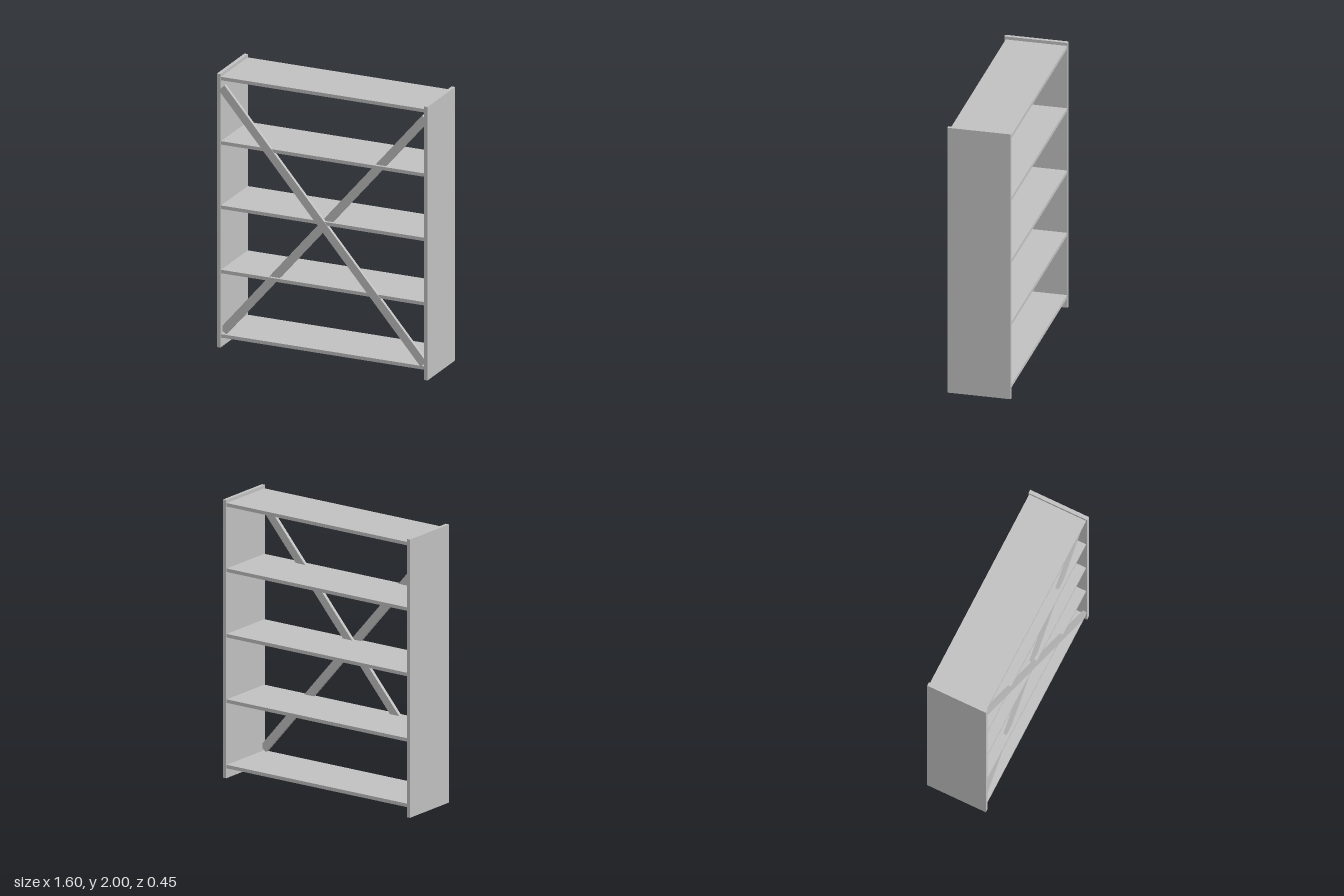
import * as THREE from 'three';

export function createModel() {
  const group = new THREE.Group();
  const grey = new THREE.MeshStandardMaterial({ color: 0xc0c0c0 });
  grey.name = 'grey';

  const board = (name, w, h, d, x, y, z) => {
    const mesh = new THREE.Mesh(new THREE.BoxGeometry(w, h, d), grey);
    mesh.name = name;
    mesh.position.set(x, y, z);
    group.add(mesh);
    return mesh;
  };

  // Side panels
  board('leftSide', 0.027, 2, 0.45, 0.7865, 1, 0);
  board('rightSide', 0.027, 2, 0.45, -0.7865, 1, 0);

  // Five evenly spaced shelves, slightly set in from the panel edges
  for (let i = 0; i < 5; i++) {
    board(`shelf${i + 1}`, 1.546, 0.025, 0.435, 0, 0.083 + i * 0.4705, -0.0025);
  }

  // Crossed diagonal braces near the front, one behind the other
  const endX = 0.767, endY = 0.895;
  const length = 2 * Math.hypot(endX, endY);
  const angle = Math.atan2(endY, endX);
  board('frontBrace', length, 0.06, 0.025, 0, 1.005, 0.2065).rotation.z = -angle;
  board('rearBrace', length, 0.06, 0.025, 0, 1.005, 0.1815).rotation.z = angle;

  return group;
}
